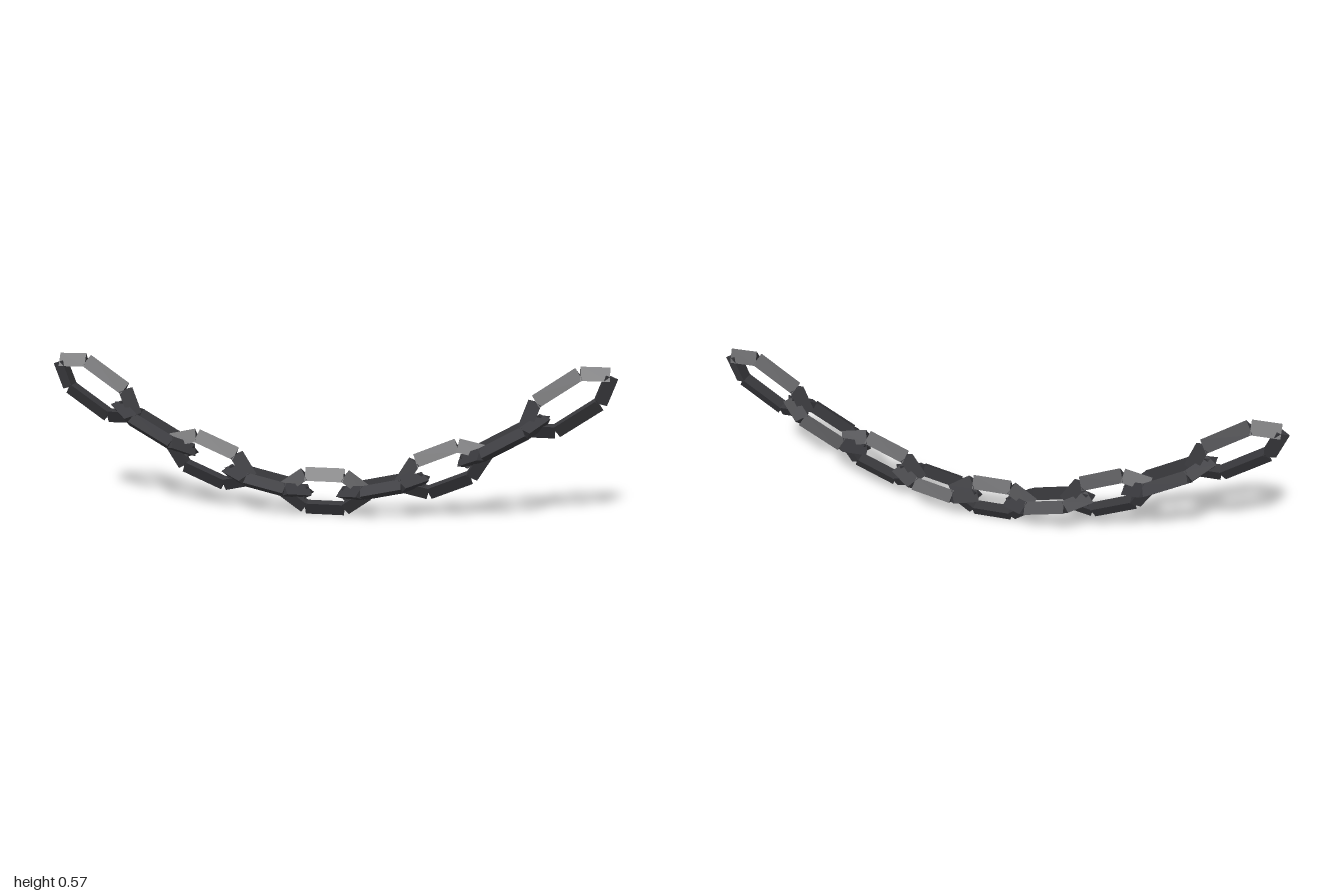
import * as THREE from 'three';

const iron = new THREE.MeshStandardMaterial({ color: 0x3a3a3e, flatShading: true });
iron.name = 'darkIron';

const BAR = 0.03;    // radius of the triangular bars
const HALF = 0.0575; // half width of a link, on the bar centre line
const RUN = 0.08;    // length of the slanted ends along the link

// One triangular bar from a to b, with its sharp ridge facing away from the link centre
function bar(a, b, name) {
  const d = b.clone().sub(a);
  const geometry = new THREE.CylinderGeometry(BAR, BAR, d.length(), 3);
  d.normalize();
  const out = new THREE.Vector3(d.y, -d.x, 0);
  const side = new THREE.Vector3().crossVectors(d, out);
  const m = new THREE.Matrix4().makeBasis(side, d, out);
  m.setPosition(a.clone().add(b).multiplyScalar(0.5));
  geometry.applyMatrix4(m);
  const mesh = new THREE.Mesh(geometry, iron);
  mesh.name = name;
  return mesh;
}

// Six-sided link in the xy plane; b is the half length of its straight sides
function link(b) {
  const group = new THREE.Group();
  const points = [
    [b + RUN, 0], [b, HALF], [-b, HALF],
    [-b - RUN, 0], [-b, -HALF], [b, -HALF],
  ].map(([x, y]) => new THREE.Vector3(x, y, 0));
  points.forEach((p, i) => {
    group.add(bar(p, points[(i + 1) % 6], i % 3 === 1 ? 'sideBar' : 'endBar'));
  });
  return group;
}

export function createModel() {
  const model = new THREE.Group();
  model.name = 'hangingChain';
  // x, y, slope and straight half length, from the middle link outwards
  const links = [
    [0, 0.0875, 0, 0.07],
    [0.21, 0.114, 0.23, 0.073],
    [0.422, 0.188, 0.43, 0.078],
    [0.628, 0.296, 0.58, 0.083],
    [0.84, 0.44, 0.71, 0.086],
  ];
  links.forEach(([x, y, slope, b], i) => {
    for (const s of i ? [1, -1] : [1]) {
      const l = link(b);
      l.name = i % 2 ? 'flatLink' : 'uprightLink';
      l.position.set(s * x, y, 0);
      // every second link is turned a quarter around the chain
      l.rotation.set(i % 2 ? Math.PI / 2 : 0, 0, s * Math.atan(slope), 'ZYX');
      model.add(l);
    }
  });
  return model;
}
